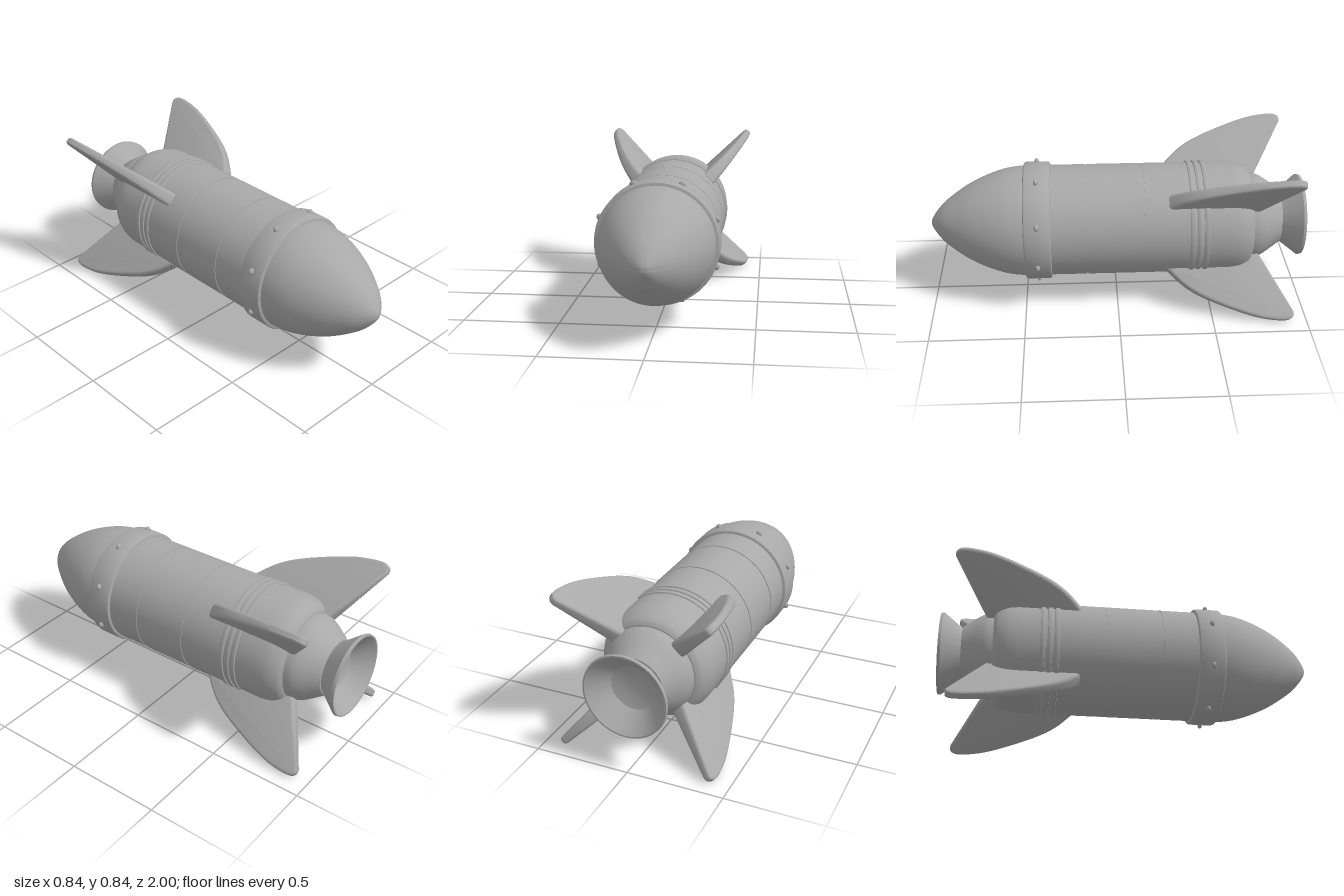
import * as THREE from 'three';
import { toCreasedNormals } from 'three/addons/utils/BufferGeometryUtils.js';

const grey = new THREE.MeshStandardMaterial({ color: 0xa8a8a8 });
grey.name = 'grey';

const BODY_R = 0.298;

// Solid of revolution about z; profile is [radius, z], rear to front on the outside
function turned(name, profile, segments = 96) {
  const points = profile.map(([r, z]) => new THREE.Vector2(r, z));
  const geometry = new THREE.LatheGeometry(points, segments).rotateX(Math.PI / 2);
  const mesh = new THREE.Mesh(toCreasedNormals(geometry, 0.45), grey);
  mesh.name = name;
  return mesh;
}

// Smooth profile through a few points
function smooth(points, count) {
  const curve = new THREE.SplineCurve(points.map(([r, z]) => new THREE.Vector2(r, z)));
  return curve.getPoints(count).map((p) => [Math.max(p.x, 0), p.y]);
}

// Narrow panel seam cut into the hull
function seam(z) {
  const w = 0.004, d = 0.004;
  return [[BODY_R, z - w], [BODY_R - d, z - w], [BODY_R - d, z + w], [BODY_R, z + w]];
}

// Raised band with chamfered edges
function band(name, z0, z1, radius, chamfer) {
  const inner = BODY_R - 0.01;
  return turned(name, [
    [inner, z0], [radius - chamfer, z0], [radius - chamfer * 0.3, z0 + chamfer * 0.3],
    [radius, z0 + chamfer], [radius, z1 - chamfer],
    [radius - chamfer * 0.3, z1 - chamfer * 0.3], [radius - chamfer, z1], [inner, z1],
  ]);
}

// Swept fin with rounded edges, thinner towards the tip
function finGeometry() {
  const shape = new THREE.Shape();
  shape.moveTo(0.16, -0.27);
  shape.lineTo(0.3, -0.265);
  shape.splineThru([
    [0.385, -0.35], [0.45, -0.45], [0.52, -0.61], [0.565, -0.74],
    [0.583, -0.84], [0.583, -0.9], [0.565, -0.928], [0.54, -0.93],
  ].map(([r, z]) => new THREE.Vector2(r, z)));
  shape.lineTo(0.27, -0.785);
  shape.lineTo(0.16, -0.725);
  shape.closePath();
  const half = 0.038, bevel = 0.02;
  const geometry = new THREE.ExtrudeGeometry(shape, {
    depth: 2 * (half - bevel), bevelThickness: bevel, bevelSize: bevel * 0.8,
    bevelOffset: -bevel * 0.8, bevelSegments: 4, curveSegments: 32,
  });
  geometry.translate(0, 0, bevel - half);
  const pos = geometry.attributes.position;
  for (let i = 0; i < pos.count; i++) {
    const taper = 1 - 1.7 * (pos.getX(i) - 0.3);
    pos.setZ(i, pos.getZ(i) * taper);
  }
  geometry.rotateX(Math.PI / 2);
  return toCreasedNormals(geometry, 0.6);
}

export function createModel() {
  const model = new THREE.Group();
  model.name = 'rocket';
  const rocket = new THREE.Group();
  rocket.name = 'rocketAssembly';
  rocket.position.y = 0.43;
  model.add(rocket);

  // Rounded rear tank and the main hull with its shoulder
  rocket.add(turned('rearTank', [
    [0, -0.885], [0.148, -0.885],
    ...smooth([[0.152, -0.88], [0.182, -0.835], [0.212, -0.79], [0.23, -0.75], [0.235, -0.7]], 16),
  ]));
  rocket.add(turned('hull', [
    [0.2, -0.72],
    ...smooth([[0.24, -0.72], [0.262, -0.705], [0.28, -0.675], [0.292, -0.64], [BODY_R, -0.59]], 16),
    ...seam(-0.137), ...seam(0.163),
    [BODY_R, 0.5],
  ]));

  // Nose cone
  rocket.add(turned('noseCone', smooth([
    [BODY_R, 0.48], [0.294, 0.54], [0.281, 0.61], [0.25, 0.7], [0.201, 0.8],
    [0.132, 0.9], [0.085, 0.95], [0.03, 0.99], [0, 1],
  ], 40)));

  // Collar with rivets
  rocket.add(band('collar', 0.352, 0.495, 0.317, 0.014));
  const rivetGeometry = new THREE.SphereGeometry(0.018, 16, 12).scale(1, 1, 0.7);
  for (let i = 0; i < 8; i++) {
    const angle = Math.PI / 8 + (i * Math.PI) / 4;
    const rivet = new THREE.Mesh(rivetGeometry, grey);
    rivet.name = 'rivet';
    rivet.position.set(Math.cos(angle) * 0.318, Math.sin(angle) * 0.318, 0.425);
    rocket.add(rivet);
  }

  // Three raised bands near the fins
  for (let i = 0; i < 3; i++) {
    const z = -0.403 - i * 0.037;
    rocket.add(band('rearBand', z, z + 0.026, 0.306, 0.005));
  }

  // Hollow flared nozzle
  rocket.add(turned('nozzle', [
    [0, -0.89], [0.07, -0.893], [0.115, -0.905], [0.205, -0.995], [0.21, -1],
    [0.218, -1], [0.22, -0.985], [0.14, -0.885], [0.13, -0.87],
  ]));

  // Four diagonal fins
  const fin = finGeometry();
  for (let i = 0; i < 4; i++) {
    const mesh = new THREE.Mesh(fin, grey);
    mesh.name = 'fin';
    mesh.rotation.z = Math.PI / 4 + (i * Math.PI) / 2;
    rocket.add(mesh);
  }

  return model;
}
